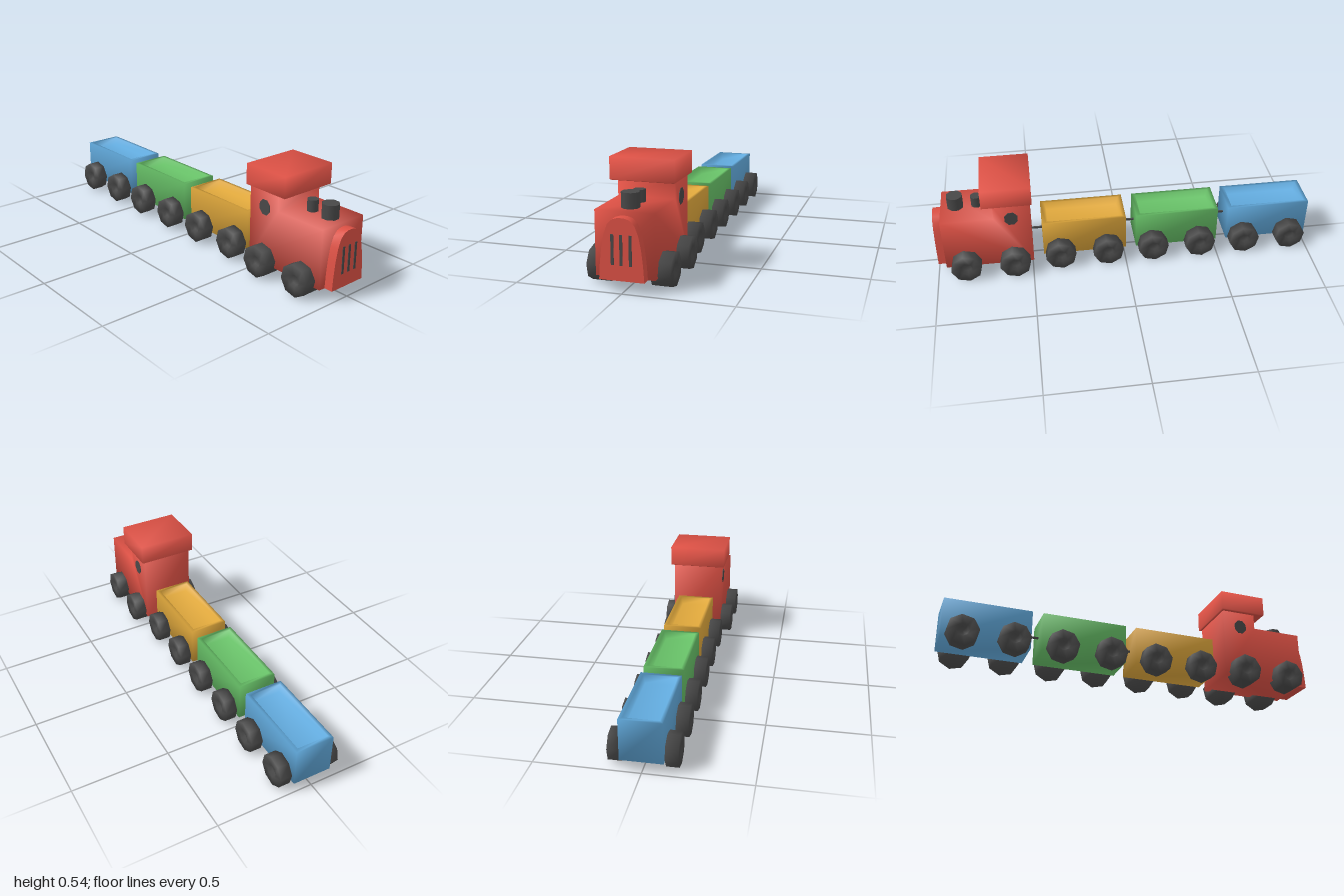
import * as THREE from 'three';
import { mergeVertices, toCreasedNormals } from 'three/addons/utils/BufferGeometryUtils.js';

const mat = (name, color) => {
  const m = new THREE.MeshStandardMaterial({ color });
  m.name = name;
  return m;
};

// Shares corners so shading flows softly over the edges
function soften(geo) {
  geo.deleteAttribute('normal');
  geo.deleteAttribute('uv');
  const g = mergeVertices(geo, 1e-4);
  g.computeVertexNormals();
  return g;
}

// Solid made of stacked rectangles, each given as [halfX, y, halfZ]
function rectLoft(rings) {
  const pos = [], idx = [];
  for (const [hx, y, hz] of rings) pos.push(hx, y, hz, hx, y, -hz, -hx, y, -hz, -hx, y, hz);
  for (let r = 0; r < rings.length - 1; r++) {
    for (let i = 0; i < 4; i++) {
      const a = r * 4 + i, b = r * 4 + (i + 1) % 4;
      idx.push(a, b, b + 4, a, b + 4, a + 4);
    }
  }
  const t = (rings.length - 1) * 4;
  idx.push(0, 2, 1, 0, 3, 2, t, t + 1, t + 2, t, t + 2, t + 3);
  const g = new THREE.BufferGeometry();
  g.setAttribute('position', new THREE.Float32BufferAttribute(pos, 3));
  g.setIndex(idx);
  g.computeVertexNormals();
  return g;
}

// Eight-sided wheel with a dished hub, lying along y
function wheelGeometry(width) {
  const p = [[0, 0], [0.081, 0], [0.081, width], [0.034, width], [0.024, width - 0.018], [0, width - 0.018]];
  return new THREE.LatheGeometry(p.map(([x, y]) => new THREE.Vector2(x, y)), 8, 0.15);
}

export function createModel() {
  const train = new THREE.Group();
  train.name = 'toyTrain';
  const red = mat('engine red', 0xdb5044);
  const dark = mat('dark grey', 0x484848);
  const carColours = [mat('wagon blue', 0x62abde), mat('wagon green', 0x67c067), mat('wagon yellow', 0xe0a83c)];

  const add = (parent, name, geo, material, x = 0, y = 0, z = 0) => {
    const m = new THREE.Mesh(geo, material);
    m.name = name;
    m.position.set(x, y, z);
    parent.add(m);
    return m;
  };
  const addWheels = (parent, centres, width) => {
    const geo = wheelGeometry(width);
    for (const x of centres) {
      for (const side of [1, -1]) {
        add(parent, 'wheel', geo, dark, x, 0.08, side * 0.1).rotation.x = side * Math.PI / 2;
      }
    }
  };

  // Open wagons with shallow trays, and the rods that join them
  const wagonGeo = rectLoft([
    [0.221, 0.058, 0.1], [0.221, 0.262, 0.1], [0.2, 0.262, 0.082], [0.19, 0.222, 0.072],
  ]);
  carColours.forEach((colour, i) => {
    const wagon = new THREE.Group();
    wagon.name = 'wagon';
    wagon.position.x = -0.779 + i * 0.498;
    add(wagon, 'wagonBody', wagonGeo, colour);
    addWheels(wagon, [-0.122, 0.132], 0.06);
    add(wagon, 'coupling', new THREE.BoxGeometry(0.08, 0.009, 0.009), dark, 0.248, 0.165, 0);
    train.add(wagon);
  });

  const engine = new THREE.Group();
  engine.name = 'engine';
  train.add(engine);

  // Cab and boiler in one L-shaped side profile
  const side = [[0.493, 0.056], [0.952, 0.056], [0.952, 0.351], [0.68, 0.351], [0.68, 0.436], [0.493, 0.436]];
  const bodyShape = new THREE.Shape(side.map(([x, y]) => new THREE.Vector2(x, y)));
  const bodyGeo = new THREE.ExtrudeGeometry(bodyShape, { depth: 0.274, bevelEnabled: false });
  add(engine, 'cabAndBoiler', soften(bodyGeo), red, 0, 0, -0.137);

  // Overhanging roof
  add(engine, 'roof', rectLoft([[0.12, 0.432, 0.148], [0.127, 0.436, 0.155], [0.127, 0.541, 0.155]]), red, 0.608);

  // Arched nose plate
  const half = [[0.103, 0.056], [0.098, 0.13], [0.09, 0.2], [0.078, 0.26], [0.062, 0.302], [0.04, 0.325], [0.014, 0.333]];
  const arch = [...half, ...half.map(([u, y]) => [-u, y]).reverse()];
  const noseShape = new THREE.Shape(arch.map(([u, y]) => new THREE.Vector2(u, y)));
  const noseGeo = new THREE.ExtrudeGeometry(noseShape, { depth: 0.046, bevelEnabled: false });
  noseGeo.rotateY(Math.PI / 2);
  add(engine, 'nose', toCreasedNormals(noseGeo, 0.7), red, 0.95);

  // Grille bars on the nose
  for (const z of [-0.042, 0, 0.04]) {
    add(engine, 'grilleBar', new THREE.BoxGeometry(0.006, 0.135, 0.013), dark, 0.996, 0.193, z);
  }

  // Chimney and steam dome, eight-sided with flats facing the axes
  const stack = (name, x, apothem, top) => {
    const r = apothem / Math.cos(Math.PI / 8);
    const geo = new THREE.CylinderGeometry(r, r, top - 0.34, 8);
    geo.rotateY(Math.PI / 8);
    add(engine, name, geo, dark, x, (top + 0.34) / 2, 0);
  };
  stack('chimney', 0.874, 0.039, 0.422);
  stack('steamDome', 0.766, 0.026, 0.409);

  // Cab side windows
  const windowGeo = new THREE.CylinderGeometry(0.036, 0.036, 0.006, 8);
  windowGeo.rotateY(Math.PI / 8);
  windowGeo.rotateX(Math.PI / 2);
  windowGeo.scale(1, 1.12, 1);
  for (const s of [1, -1]) add(engine, 'cabWindow', windowGeo, dark, 0.592, 0.347, s * 0.137);

  addWheels(engine, [0.591, 0.845], 0.094);
  return train;
}
